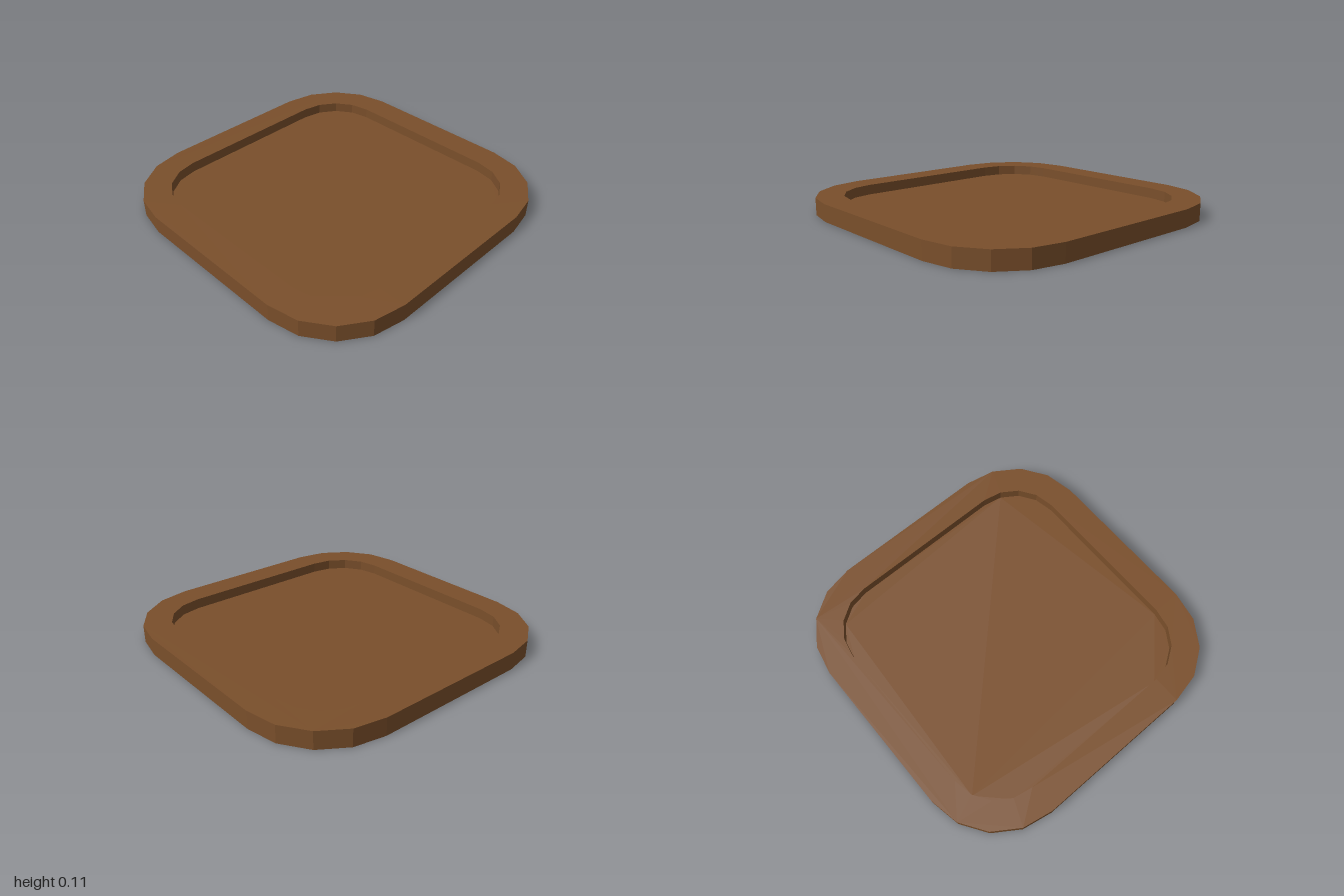
import * as THREE from 'three';

const HEIGHT = 0.11, FLOOR = 0.045;
const CORNER = 0.505; // corner arc centre, shared by both outlines
const STEPS = 4;      // facets per corner

// Square outline with faceted round corners, counter-clockwise
function outline(half) {
  const r = half - CORNER, points = [];
  for (let q = 0; q < 4; q++) {
    const mid = (q + 0.5) * Math.PI / 2;
    const cx = CORNER * Math.sign(Math.cos(mid)), cy = CORNER * Math.sign(Math.sin(mid));
    for (let i = 0; i <= STEPS; i++) {
      const a = (q + i / STEPS) * Math.PI / 2;
      points.push(new THREE.Vector2(cx + r * Math.cos(a), cy + r * Math.sin(a)));
    }
  }
  return points;
}

export function createModel() {
  const group = new THREE.Group();
  group.name = 'tray';
  const wood = new THREE.MeshStandardMaterial({ color: 0x7a4f2b, flatShading: true });
  const outer = outline(1), inner = outline(0.825);

  const add = (name, geometry, y) => {
    geometry.rotateX(-Math.PI / 2);
    const mesh = new THREE.Mesh(geometry, wood);
    mesh.name = name;
    mesh.position.y = y;
    group.add(mesh);
  };

  // Raised rim, full height
  const rim = new THREE.Shape(outer);
  rim.holes.push(new THREE.Path(inner));
  add('rim', new THREE.ExtrudeGeometry(rim, { depth: HEIGHT, bevelEnabled: false }), 0);

  // Recessed floor filling the rim
  add('floor', new THREE.ExtrudeGeometry(new THREE.Shape(inner), { depth: FLOOR, bevelEnabled: false }), 0);

  return group;
}
